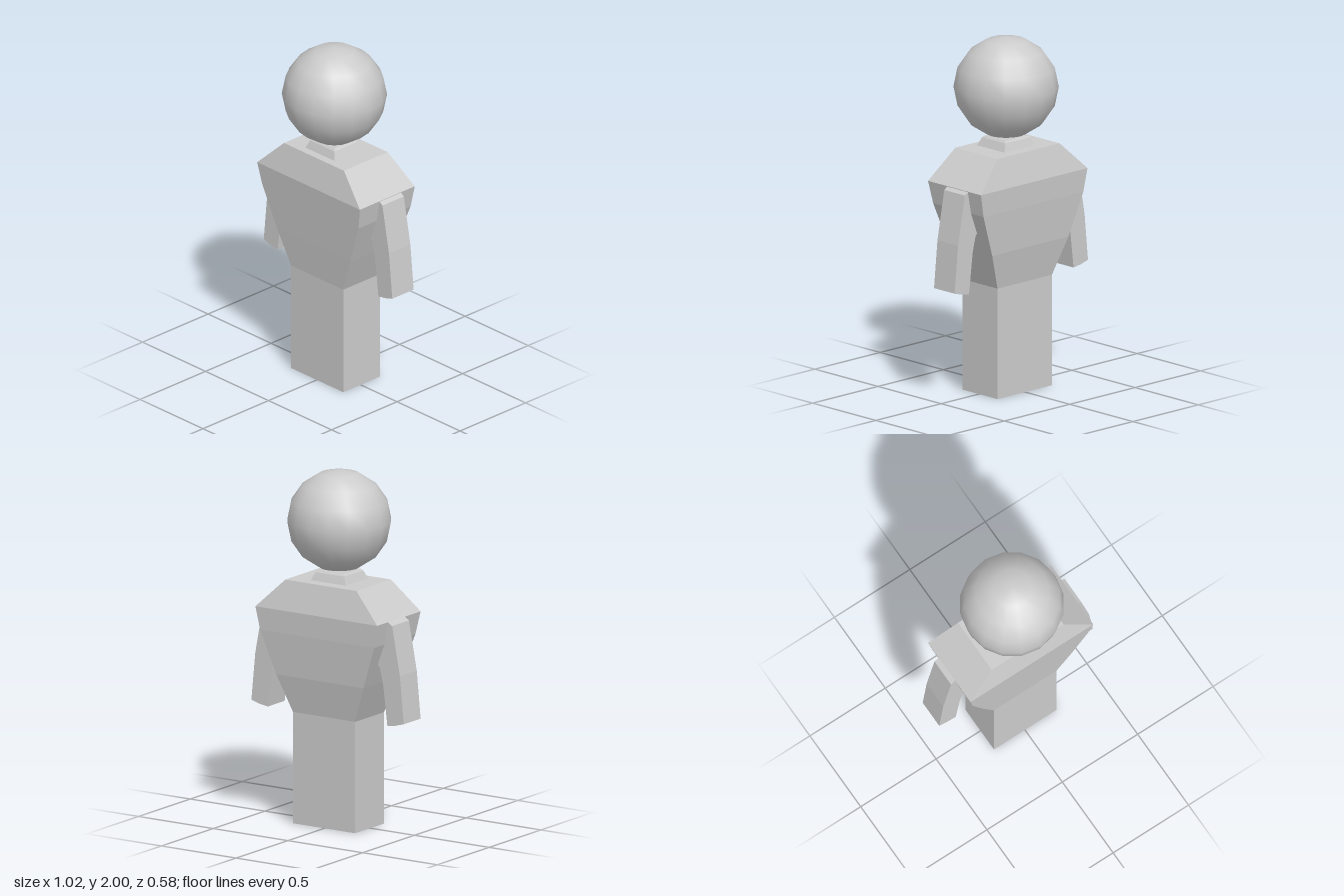
import * as THREE from 'three';

const flat = new THREE.MeshStandardMaterial({ color: 0xcccccc, flatShading: true });
const smooth = new THREE.MeshStandardMaterial({ color: 0xcccccc });

// Closed loft through rectangular sections [y, xMin, xMax, zMin, zMax], bottom to top
function loftRects(sections) {
  const positions = [];
  const index = [];
  for (const [y, x0, x1, z0, z1] of sections) {
    positions.push(x0, y, z1, x1, y, z1, x1, y, z0, x0, y, z0);
  }
  for (let s = 0; s < sections.length - 1; s++) {
    for (let i = 0; i < 4; i++) {
      const a = s * 4 + i;
      const b = s * 4 + (i + 1) % 4;
      index.push(a, b, b + 4, a, b + 4, a + 4);
    }
  }
  const t = (sections.length - 1) * 4;
  index.push(0, 3, 2, 0, 2, 1, t, t + 1, t + 2, t, t + 2, t + 3);
  const geometry = new THREE.BufferGeometry();
  geometry.setAttribute('position', new THREE.Float32BufferAttribute(positions, 3));
  geometry.setIndex(index);
  const result = geometry.toNonIndexed();
  result.computeVertexNormals();
  return result;
}

export function createModel() {
  const model = new THREE.Group();
  const add = (name, geometry, material = flat) => {
    const mesh = new THREE.Mesh(geometry, material);
    mesh.name = name;
    model.add(mesh);
    return mesh;
  };

  // Block legs, flaring chest and sloped shoulders
  add('body', loftRects([
    [0, -0.205, 0.211, -0.147, 0.132],
    [0.63, -0.205, 0.211, -0.147, 0.132],
    [0.84, -0.29, 0.293, -0.19, 0.157],
    [1.085, -0.38, 0.384, -0.215, 0.183],
    [1.215, -0.405, 0.41, -0.222, 0.197],
    [1.38, -0.235, 0.241, -0.177, 0.156],
  ]));

  // Tapered neck
  add('neck', loftRects([
    [1.37, -0.118, 0.122, -0.112, 0.114],
    [1.38, -0.114, 0.119, -0.108, 0.11],
    [1.425, -0.094, 0.098, -0.09, 0.092],
    [1.435, -0.084, 0.088, -0.08, 0.082],
  ]));

  // Round head
  const head = add('head', new THREE.SphereGeometry(0.29, 16, 8), smooth);
  head.scale.y = 0.983;
  head.position.set(0.003, 1.715, 0);

  // Bent arms, an extruded side profile mirrored left and right
  const profile = [
    [0.27, 1.215], [0.405, 1.215], [0.432, 1.197], [0.484, 0.92], [0.51, 0.652],
    [0.455, 0.636], [0.4, 0.628], [0.372, 0.86], [0.35, 0.95], [0.338, 0.963], [0.3, 0.96],
  ];
  for (const [name, side] of [['leftArm', 1], ['rightArm', -1]]) {
    const shape = new THREE.Shape(profile.map(([x, y]) => new THREE.Vector2(side * x, y)));
    const arm = add(name, new THREE.ExtrudeGeometry(shape, { depth: 0.163, bevelEnabled: false }));
    arm.position.z = -0.117;
  }

  return model;
}
